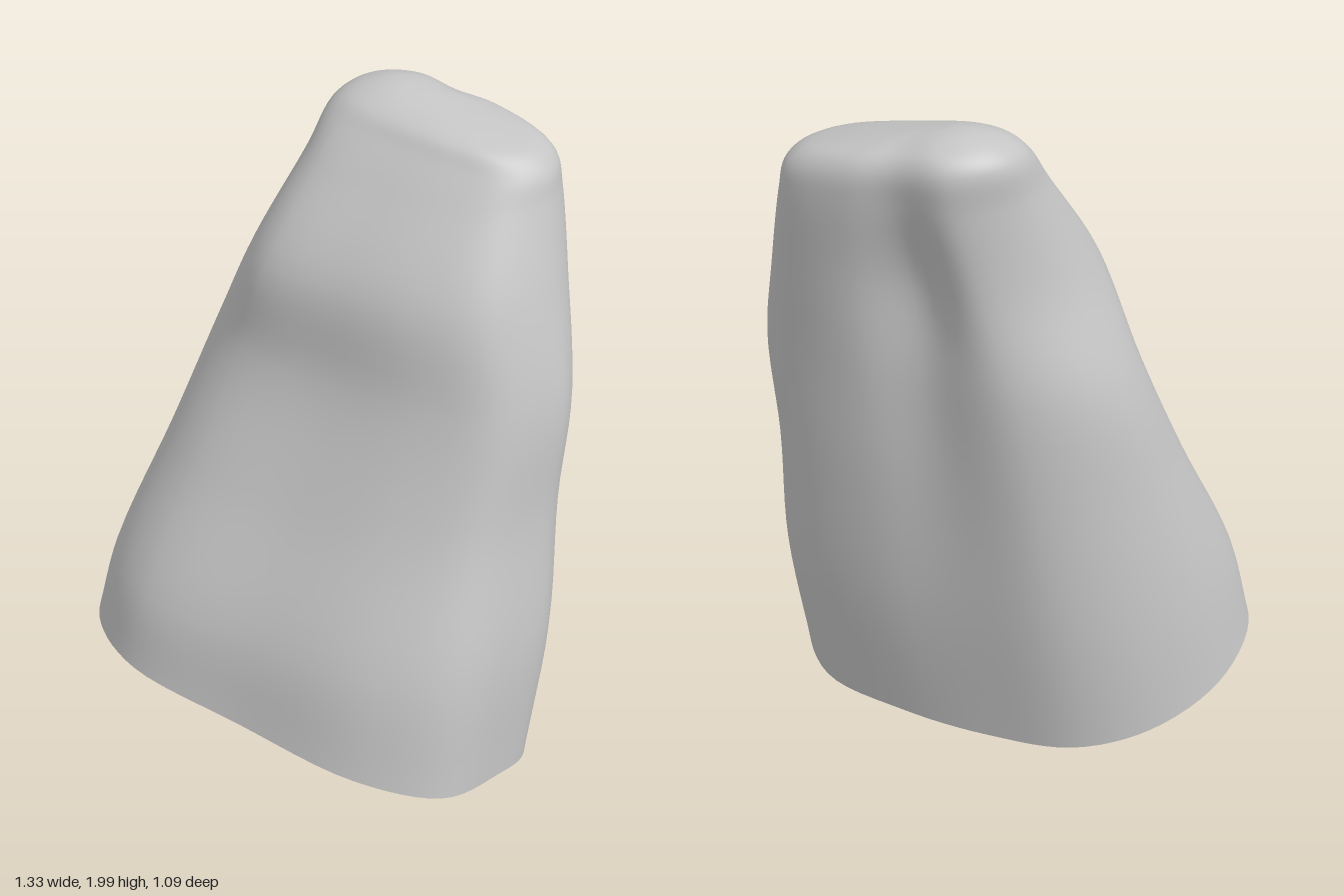
import * as THREE from 'three';

// Outlines as [x, z], running front-left -> right -> back -> left
const FOOT = [[-.5, .49], [-.28, .545], [.08, .46], [.46, .35], [.65, .18], [.66, -.05], [.63, -.2],
  [.45, -.33], [.15, -.345], [-.14, -.32], [-.4, -.25], [-.57, -.1], [-.66, .14], [-.62, .38]];
const HEAD = [[-.2, -.11], [-.13, -.08], [.05, -.12], [.22, -.18], [.34, -.25], [.395, -.33], [.41, -.43],
  [.35, -.535], [.14, -.545], [.01, -.49], [-.13, -.46], [-.21, -.38], [-.25, -.28], [-.24, -.17]];

// Levels: height, x range, z range, tilt along x and z, depth of the groove in the back
const LEVELS = [
  { y: 0.115, x: [-.66, .66], z: [-.345, .545], tilt: [-.05, .25], groove: 0 },
  { y: 0.5, x: [-.615, .652], z: [-.42, .485], tilt: [0, .04], groove: .01 },
  { y: 0.9, x: [-.53, .59], z: [-.455, .285], tilt: [0, 0], groove: .02 },
  { y: 1.25, x: [-.45, .575], z: [-.48, .13], tilt: [0, 0], groove: .03 },
  { y: 1.55, x: [-.325, .49], z: [-.515, .085], tilt: [0, 0], groove: .05 },
  { y: 1.8, x: [-.25, .41], z: [-.54, -.08], tilt: [-.05, 0], groove: .01 },
  { y: 1.9, x: [-.23, .385], z: [-.535, -.16], tilt: [-.12, 0], groove: 0 },
  // Rounded crown
  { y: 1.943, x: [-.19, .34], z: [-.51, -.2], tilt: [-.13, 0], groove: 0 },
  { y: 1.972, x: [-.12, .25], z: [-.45, -.26], tilt: [-.17, 0], groove: 0 },
  { y: 1.983, x: [-.06, .12], z: [-.39, -.31], tilt: [-.2, 0], groove: 0 },
  { y: 1.985, x: [-.01, .01], z: [-.355, -.345], tilt: [-.2, 0], groove: 0 },
];

const AROUND = 84;
const STEPS = 6;

// Rescales outline points so they exactly fill the given x and z ranges
function fit(outline, xRange, zRange) {
  const box = new THREE.Box2().setFromPoints(outline);
  const { mapLinear } = THREE.MathUtils;
  return outline.map((p) => new THREE.Vector2(
    mapLinear(p.x, box.min.x, box.max.x, ...xRange),
    mapLinear(p.y, box.min.y, box.max.y, ...zRange)));
}

const unit = (outline) => fit(outline.map((p) => new THREE.Vector2(...p)), [0, 1], [0, 1]);

// Ring of points at one level: the foot outline turns gradually into the head outline
function makeRing({ y, x, z, tilt, groove }) {
  const head = unit(HEAD);
  const blend = Math.min(1, y / 1.8);
  const outline = fit(unit(FOOT).map((p, i) => p.lerp(head[i], blend)), x, z);
  const points = outline.map((p) =>
    new THREE.Vector3(p.x, Math.max(0, y + tilt[0] * p.x + tilt[1] * p.y), p.y));
  const curve = new THREE.CatmullRomCurve3(points, true, 'centripetal');
  const middle = (z[0] + z[1]) / 2;
  return Array.from({ length: AROUND }, (_, i) => {
    const v = curve.getPoint(i / AROUND);
    if (v.z < middle) v.z += groove * Math.exp(-(((v.x - 0.02) / 0.13) ** 2));
    return v;
  });
}

// Smooth skin lofted through the rings, open at the bottom
function loftGeometry() {
  const rings = LEVELS.map(makeRing);
  const rows = (rings.length - 1) * STEPS;
  const columns = rings[0].map((_, i) =>
    new THREE.CatmullRomCurve3(rings.map((ring) => ring[i]), false, 'centripetal'));
  const positions = [];
  for (let j = 0; j <= rows; j++) {
    for (const column of columns) positions.push(...column.getPoint(j / rows).toArray());
  }
  const index = [];
  for (let j = 0; j < rows; j++) {
    for (let i = 0; i < AROUND; i++) {
      const a = j * AROUND + i;
      const b = j * AROUND + (i + 1) % AROUND;
      index.push(a, b, b + AROUND, a, b + AROUND, a + AROUND);
    }
  }
  // Close the tiny hole at the crown
  const last = rows * AROUND;
  for (let i = 1; i < AROUND - 1; i++) index.push(last, last + i, last + i + 1);

  const geometry = new THREE.BufferGeometry();
  geometry.setAttribute('position', new THREE.Float32BufferAttribute(positions, 3));
  geometry.setIndex(index);
  geometry.computeVertexNormals();
  return geometry;
}

export function createModel() {
  const group = new THREE.Group();
  group.name = 'hollowStump';
  const stone = new THREE.MeshStandardMaterial({ color: 0xc4c4c4, side: THREE.DoubleSide });
  stone.name = 'light grey';
  const shell = new THREE.Mesh(loftGeometry(), stone);
  shell.name = 'shell';
  group.add(shell);
  return group;
}
